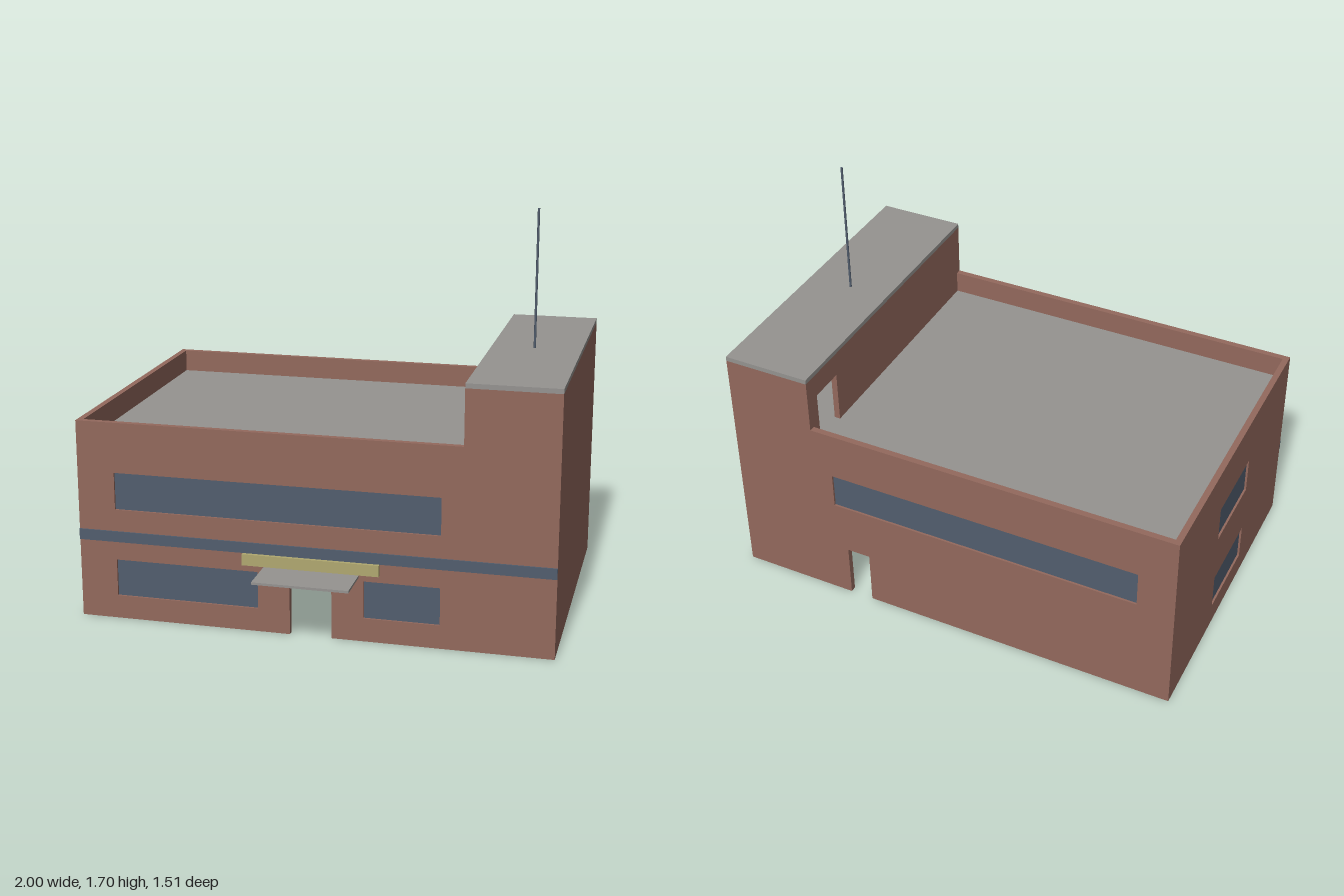
import * as THREE from 'three';

const T = 0.026;                        // wall thickness
const X = 1, ZB = -0.755, ZF = 0.579;   // outer faces of the building
const MAIN = 0.855, TOWER = 1.09, TX = 0.62, ROOF = 0.757, SLAB = 0.02;
const LOW = [0.1, 0.26], HIGH = [0.48, 0.64];  // window heights

const material = (name, color) => {
  const m = new THREE.MeshStandardMaterial({ color });
  m.name = name;
  return m;
};

export function createModel() {
  const brick = material('brick', 0x93695d);
  const concrete = material('concrete', 0x959390);
  const slate = material('slate blue', 0x525e6e);
  const yellow = material('dull yellow', 0xb0a870);

  const model = new THREE.Group();
  model.name = 'building';

  const add = (parent, name, geometry, mat) => {
    const mesh = new THREE.Mesh(geometry, mat);
    mesh.name = name;
    parent.add(mesh);
    return mesh;
  };

  // Box given by its limits on each axis
  const block = (parent, name, mat, [x0, x1], [y0, y1], [z0, z1]) =>
    add(parent, name, new THREE.BoxGeometry(x1 - x0, y1 - y0, z1 - z0), mat)
      .position.set((x0 + x1) / 2, (y0 + y1) / 2, (z0 + z1) / 2);

  // Wall of even thickness with window openings and recessed panes
  const wall = (name, outline, windows = []) => {
    const group = new THREE.Group();
    group.name = name;
    const shape = new THREE.Shape(outline.map(p => new THREE.Vector2(...p)));
    for (const [[a, b], [c, d]] of windows) {
      shape.holes.push(new THREE.Path([[a, c], [a, d], [b, d], [b, c]].map(p => new THREE.Vector2(...p))));
      block(group, 'windowPane', slate, [a, b], [c, d], [T / 2 - 0.004, T / 2 + 0.004]);
    }
    add(group, name + 'Brick', new THREE.ExtrudeGeometry(shape, { depth: T, bevelEnabled: false }), brick);
    model.add(group);
    return group;
  };

  // Stepped outline shared by front and back, notched for a doorway
  const stepped = (d0, d1, h) => [
    [-X, 0], [d0, 0], [d0, h], [d1, h], [d1, 0], [X, 0],
    [X, TOWER], [TX, TOWER], [TX, MAIN], [-X, MAIN],
  ];
  const longWindow = [[-0.84, 0.535], HIGH];
  wall('frontWall', stepped(-0.09, 0.086, 0.273),
    [longWindow, [[-0.84, -0.225], LOW], [[0.22, 0.535], LOW]]).position.z = ZF - T;
  wall('backWall', stepped(0.383, 0.486, 0.245), [longWindow]).position.z = ZB;

  // Side walls are drawn in z and y, then turned to face sideways
  const zb = ZB + T, zf = ZF - T;
  const sideWall = (name, outerX, outline, windows) => {
    const w = wall(name, outline, windows);
    w.rotation.y = -Math.PI / 2;
    w.position.x = outerX;
  };
  sideWall('windowedSideWall', -X + T, [[zb, 0], [zf, 0], [zf, MAIN], [zb, MAIN]],
    [[[-0.26, 0.087], LOW], [[-0.26, 0.087], HIGH]]);
  sideWall('towerOuterWall', X, [[zb, 0], [zf, 0], [zf, TOWER], [zb, TOWER]]);

  // Tower wall above the roof with a doorway
  sideWall('towerInnerWall', TX + T, [
    [zb, ROOF], [-0.685, ROOF], [-0.685, 0.987], [-0.53, 0.987], [-0.53, ROOF],
    [zf, ROOF], [zf, TOWER], [zb, TOWER],
  ]);

  // Roofs
  block(model, 'mainRoof', concrete, [-X + T, X - T], [ROOF - SLAB, ROOF], [zb, zf]);
  block(model, 'towerRoof', concrete, [TX, X], [TOWER, TOWER + SLAB], [ZB, ZF]);

  // Front details
  block(model, 'frontBand', slate, [-X, X], [0.34, 0.386], [ZF, ZF + 0.006]);
  block(model, 'signBoard', yellow, [-0.288, 0.286], [0.29, 0.338], [ZF, ZF + 0.016]);
  block(model, 'entranceCanopy', concrete, [-0.2, 0.2], [0.274, 0.284], [ZF, 0.755]);

  // Mast on the tower
  add(model, 'mast', new THREE.CylinderGeometry(0.005, 0.005, 0.59, 8), slate)
    .position.set(0.802, 1.405, -0.086);

  return model;
}
